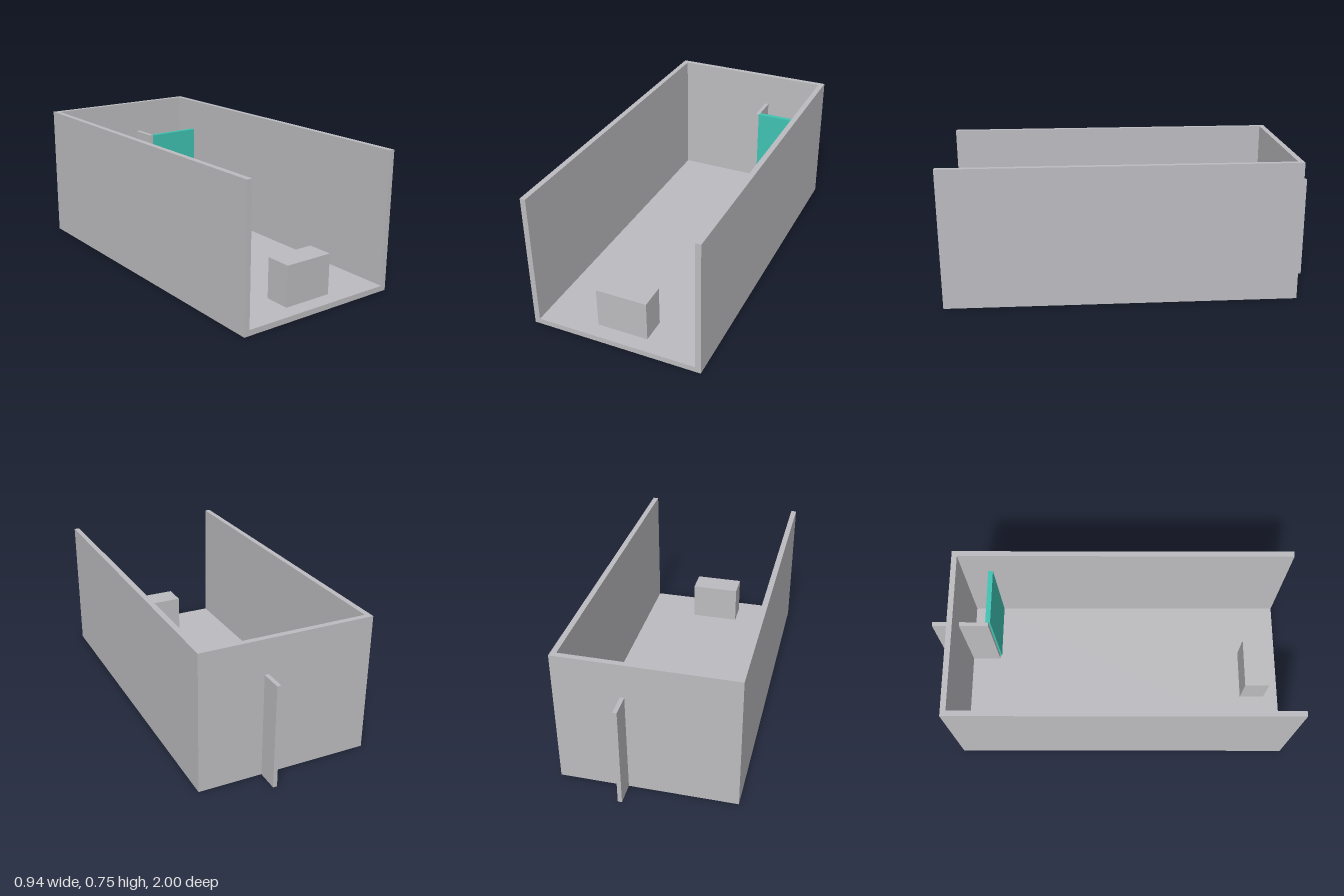
import * as THREE from 'three';

export function createModel() {
  const model = new THREE.Group();
  model.name = 'openRoom';

  const grey = new THREE.MeshStandardMaterial({ color: 0xbcbcc0 });
  grey.name = 'plaster grey';
  const teal = new THREE.MeshStandardMaterial({ color: 0x40c2b3 });
  teal.name = 'screen teal';

  // Box given by its extents along each axis
  function block(name, material, [x0, x1], [y0, y1], [z0, z1]) {
    const mesh = new THREE.Mesh(new THREE.BoxGeometry(x1 - x0, y1 - y0, z1 - z0), material);
    mesh.position.set((x0 + x1) / 2, (y0 + y1) / 2, (z0 + z1) / 2);
    mesh.name = name;
    model.add(mesh);
  }

  const W = 0.469, H = 0.753, T = 0.03, back = -0.88, front = 1;

  // Room shell, open at the front and top
  block('floor', grey, [-W, W], [0, T], [back, front]);
  block('backWall', grey, [-W, W], [T, H], [back, back + T]);
  block('leftWall', grey, [W - T, W], [T, H], [back + T, front]);
  block('rightWall', grey, [-W, -W + T], [T, H], [back + T, front]);

  // Partition passing through the back wall
  block('partition', grey, [0.103, 0.125], [0, 0.565], [-1, -0.688]);

  // Coloured screen between the partition and the left wall
  block('screen', teal, [0.123, W - T], [0.001, 0.565], [-0.705, -0.678]);

  // Desk block near the open front
  block('desk', grey, [-0.14, 0.14], [T, 0.25], [0.775, 0.916]);

  return model;
}
